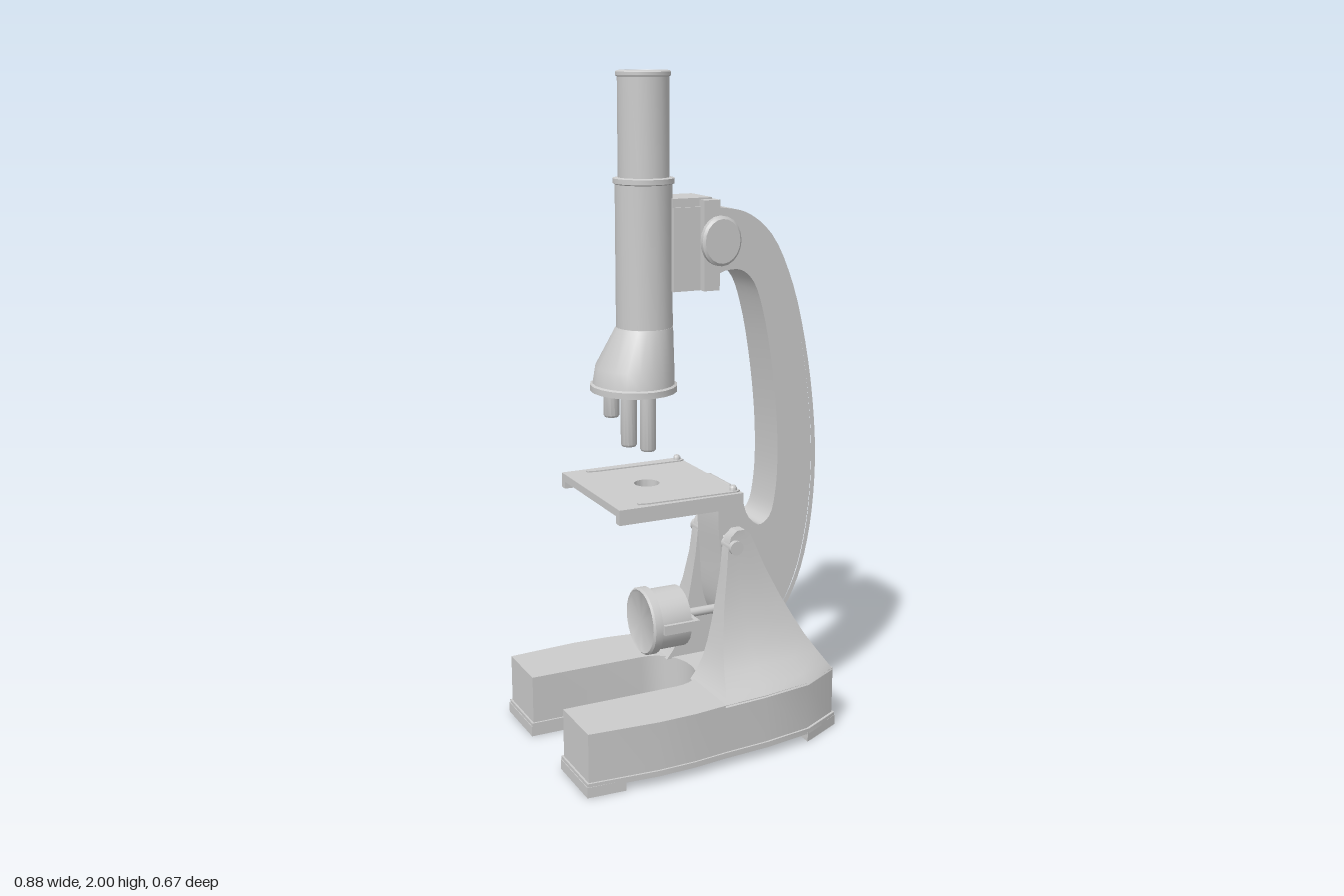
import * as THREE from 'three';
import { toCreasedNormals } from 'three/addons/utils/BufferGeometryUtils.js';

const mat = new THREE.MeshStandardMaterial({ color: 0xcccccc });

export function createModel() {
  const g = new THREE.Group();

  const add = (name, geo, x = 0, y = 0, z = 0) => {
    const m = new THREE.Mesh(geo, mat);
    m.name = name;
    m.position.set(x, y, z);
    g.add(m);
    return m;
  };
  // Box given by its limits
  const box = (name, x0, x1, y0, y1, z0, z1) => add(name,
    new THREE.BoxGeometry(x1 - x0, y1 - y0, z1 - z0), (x0 + x1) / 2, (y0 + y1) / 2, (z0 + z1) / 2);
  const lathe = (pts, seg = 20) => toCreasedNormals(
    new THREE.LatheGeometry(pts.map(p => new THREE.Vector2(...p)), seg), 0.6);
  const shapeOf = pts => new THREE.Shape(pts.map(p => new THREE.Vector2(...p)));
  // Plan shape (x, z) extruded between two heights
  const slab = (name, shape, y0, y1) => {
    const geo = new THREE.ExtrudeGeometry(shape, { depth: y1 - y0, bevelEnabled: false, curveSegments: 16 });
    geo.rotateX(Math.PI / 2);
    return add(name, toCreasedNormals(geo, 0.5), 0, y1, 0);
  };

  // Horseshoe base with a slightly wider lip
  const side = [[-0.435, 0.312], [-0.22, 0.327], [-0.1, 0.324], [0, 0.312], [0.14, 0.302], [0.3, 0.277], [0.43, 0.21]];
  const baseShape = grow => {
    const out = side.map(([x, z]) => [x + Math.sign(x) * grow, z + grow]);
    const s = shapeOf([...out, ...out.slice().reverse().map(([x, z]) => [x, -z])]);
    const w = 0.125 - grow;
    s.lineTo(-0.435 - grow, -w);
    s.lineTo(-0.07, -w);
    s.bezierCurveTo(0.08, -w, 0.08, w, -0.07, w);
    s.lineTo(-0.435 - grow, w);
    return s;
  };
  slab('base', baseShape(0), 0.03, 0.19);
  slab('baseLip', baseShape(0.006), 0.025, 0.042);
  for (const s of [1, -1])
    slab('frontFoot', shapeOf([[-0.443, 0.119 * s], [-0.443, 0.32 * s], [-0.325, 0.326 * s], [-0.325, 0.119 * s]]), 0, 0.032);
  slab('rearFoot', shapeOf([[0.3, -0.285], [0.438, -0.216], [0.438, 0.216], [0.3, 0.285]]), 0, 0.032);

  // Flared uprights: [height, front x, back x, share of the flare]
  const levels = [
    [0.185, 0, 0.43, 1], [0.21, 0.02, 0.412, 0.84], [0.25, 0.042, 0.385, 0.61], [0.3, 0.058, 0.352, 0.45],
    [0.36, 0.072, 0.318, 0.34], [0.43, 0.085, 0.28, 0.25], [0.52, 0.1, 0.235, 0.19], [0.6, 0.108, 0.2, 0.165],
    [0.632, 0.117, 0.186, 0.16], [0.65, 0.138, 0.165, 0.16]];
  const flare = [[0, 0], [0, 0.235], [0.32, 0.224], [0.7, 0.2], [1, 0.13], [1, 0]];
  const pos = [], idx = [], n = flare.length;
  levels.forEach(([y, x0, x1, f], i) => flare.forEach(([u, w], j) => {
    const even = w ? w + (0.235 - w) * (1 - f) : 0; // flattens out towards the top
    pos.push(x0 + (x1 - x0) * u, y, 0.082 + even * f);
    if (i === levels.length - 1) return;
    const k = (j + 1) % n, a = i * n;
    idx.push(a + j, a + k, a + n + k, a + j, a + n + k, a + n + j);
  }));
  const top = (levels.length - 1) * n;
  for (let j = 1; j < n - 1; j++) idx.push(top, top + j, top + j + 1);
  const loft = new THREE.BufferGeometry();
  loft.setAttribute('position', new THREE.Float32BufferAttribute(pos, 3));
  loft.setIndex(idx);
  const upright = toCreasedNormals(loft, 0.6);
  for (const s of [1, -1]) add('upright', upright).scale.z = s;

  // Pivot bolt through the uprights
  const bolt = new THREE.CylinderGeometry(0.022, 0.022, 0.27, 16).rotateX(Math.PI / 2);
  add('pivotBolt', bolt, 0.13, 0.6, 0);

  // Curved arm: raised rim around a recessed web
  const curve = new THREE.CatmullRomCurve3([
    [0.07, 1.61], [0.12, 1.612], [0.19, 1.595], [0.27, 1.53], [0.34, 1.39], [0.395, 1.18], [0.428, 0.95], [0.434, 0.78],
    [0.418, 0.6], [0.38, 0.45], [0.32, 0.34], [0.25, 0.285], [0.17, 0.3], [0.125, 0.38], [0.108, 0.55], [0.1, 0.7],
    [0.112, 0.765], [0.14, 0.782], [0.172, 0.755], [0.2, 0.675], [0.24, 0.642], [0.275, 0.665], [0.296, 0.75],
    [0.3, 0.9], [0.282, 1.1], [0.245, 1.3], [0.21, 1.395], [0.17, 1.43], [0.12, 1.432], [0.07, 1.42]
  ].map(p => new THREE.Vector3(p[0], p[1], 0)), true, 'centripetal');
  const outline = [], inset = [];
  for (let i = 0; i < 110; i++) {
    const p = curve.getPoint(i / 110), t = curve.getTangent(i / 110);
    outline.push([p.x, p.y]);
    inset.push([p.x + t.y * 0.014, p.y - t.x * 0.014]);
  }
  const armPart = (name, shape, half) => {
    const geo = new THREE.ExtrudeGeometry(shape, { depth: 2 * half, bevelEnabled: false });
    add(name, toCreasedNormals(geo, 0.6), 0, 0, -half);
  };
  const rim = shapeOf(outline);
  rim.holes.push(new THREE.Path(inset.map(p => new THREE.Vector2(...p))));
  armPart('armRim', rim, 0.071);
  armPart('armWeb', shapeOf(outline.map((p, i) => [(p[0] + inset[i][0]) / 2, (p[1] + inset[i][1]) / 2])), 0.058);

  // Focus block
  box('slideBlock', -0.05, 0.085, 1.38, 1.62, -0.072, 0.072);
  box('slideCap', -0.05, 0.075, 1.6, 1.645, -0.065, 0.065);
  box('crossBlock', 0.035, 0.085, 1.38, 1.64, -0.097, 0.097);

  // Focus knobs on a common shaft
  add('knobShaft', new THREE.CylinderGeometry(0.02, 0.02, 0.29, 14).rotateX(Math.PI / 2), 0.06, 1.53, 0);
  const knob = lathe([[0, -0.013], [0.055, -0.013], [0.062, -0.007], [0.062, 0.007], [0.055, 0.013], [0, 0.013]]);
  knob.rotateX(Math.PI / 2).scale(1, 1.15, 1);
  for (const s of [1, -1]) add('focusKnob', knob, 0.06, 1.53, 0.151 * s);

  // Body tube and eyepiece with a dished top
  add('bodyTube', lathe([[0, 1.24], [0.083, 1.24], [0.083, 1.685], [0.089, 1.688], [0.089, 1.702], [0.076, 1.705]]), -0.11);
  add('eyepiece', lathe([[0.074, 1.69], [0.074, 1.983], [0.079, 1.986], [0.079, 1.996], [0.074, 2], [0.058, 2],
    [0.045, 1.978], [0.014, 1.972], [0.012, 1.966], [0, 1.966]]), -0.11);

  // Nosepiece: a cone leaning forward, wider across than deep
  const nose = new THREE.LatheGeometry([[0, 1.09], [0.126, 1.09], [0.126, 1.108], [0.119, 1.112], [0.115, 1.16],
    [0.084, 1.275], [0, 1.28]].map(p => new THREE.Vector2(...p)), 20);
  const np = nose.attributes.position;
  for (let i = 0; i < np.count; i++) {
    const t = THREE.MathUtils.clamp((1.275 - np.getY(i)) / 0.13, 0, 1);
    np.setX(i, np.getX(i) - 0.11 - 0.036 * t);
    np.setZ(i, np.getZ(i) * (1 + 0.09 * t));
  }
  add('nosepiece', toCreasedNormals(nose, 0.5));

  // Three objectives of different length
  for (const [x, z, y] of [[-0.1, 0, 0.9], [-0.19, 0.062, 0.94], [-0.19, -0.062, 1.0]])
    add('objective', lathe([[0, y], [0.02, y], [0.024, y + 0.006], [0.024, 1.1]], 14), x, 0, z);

  // Stage plate with a light hole and lips on three sides
  const plate = shapeOf([[-0.29, -0.217], [0.105, -0.217], [0.105, 0.217], [-0.29, 0.217]]);
  const hole = new THREE.Path();
  hole.absarc(-0.105, 0, 0.038, 0, Math.PI * 2, true);
  plate.holes.push(hole);
  slab('stage', plate, 0.777, 0.8);
  for (const s of [1, -1]) box('stageLip', -0.29, 0.105, 0.755, 0.78, s * 0.217, s * 0.192).geometry =
    new THREE.BoxGeometry(0.395, 0.025, 0.025);
  box('stageRearLip', 0.08, 0.105, 0.755, 0.78, -0.2, 0.2);

  // Stage clips with their screws
  for (const s of [1, -1]) {
    const z = 0.187 * s;
    slab('stageClip', shapeOf([[-0.22, z - 0.006], [-0.19, z - 0.012], [0.09, z - 0.018], [0.104, z - 0.01],
      [0.104, z + 0.01], [0.09, z + 0.018], [-0.19, z + 0.012], [-0.22, z + 0.006]]), 0.799, 0.804);
    add('clipScrew', lathe([[0.011, 0.8], [0.011, 0.812], [0.007, 0.818], [0, 0.82]], 12), 0.086, 0, z);
  }

  // Mirror drum facing forward, held by a fork
  const drum = lathe([[0, 0], [0.094, 0], [0.094, 0.098], [0.104, 0.1], [0.104, 0.124], [0.098, 0.13], [0.09, 0.126], [0, 0.126]], 24);
  add('mirrorDrum', drum.rotateZ(Math.PI / 2), 0, 0.365, 0);
  for (const s of [1, -1]) box('mirrorFork', -0.095, 0.02, 0.349, 0.379, s > 0 ? 0.09 : -0.104, s > 0 ? 0.104 : -0.09);
  box('forkBridge', 0.008, 0.022, 0.349, 0.379, -0.104, 0.104);
  add('mirrorStem', new THREE.CylinderGeometry(0.014, 0.014, 0.14, 12).rotateZ(Math.PI / 2), 0.075, 0.364, 0);

  return g;
}
